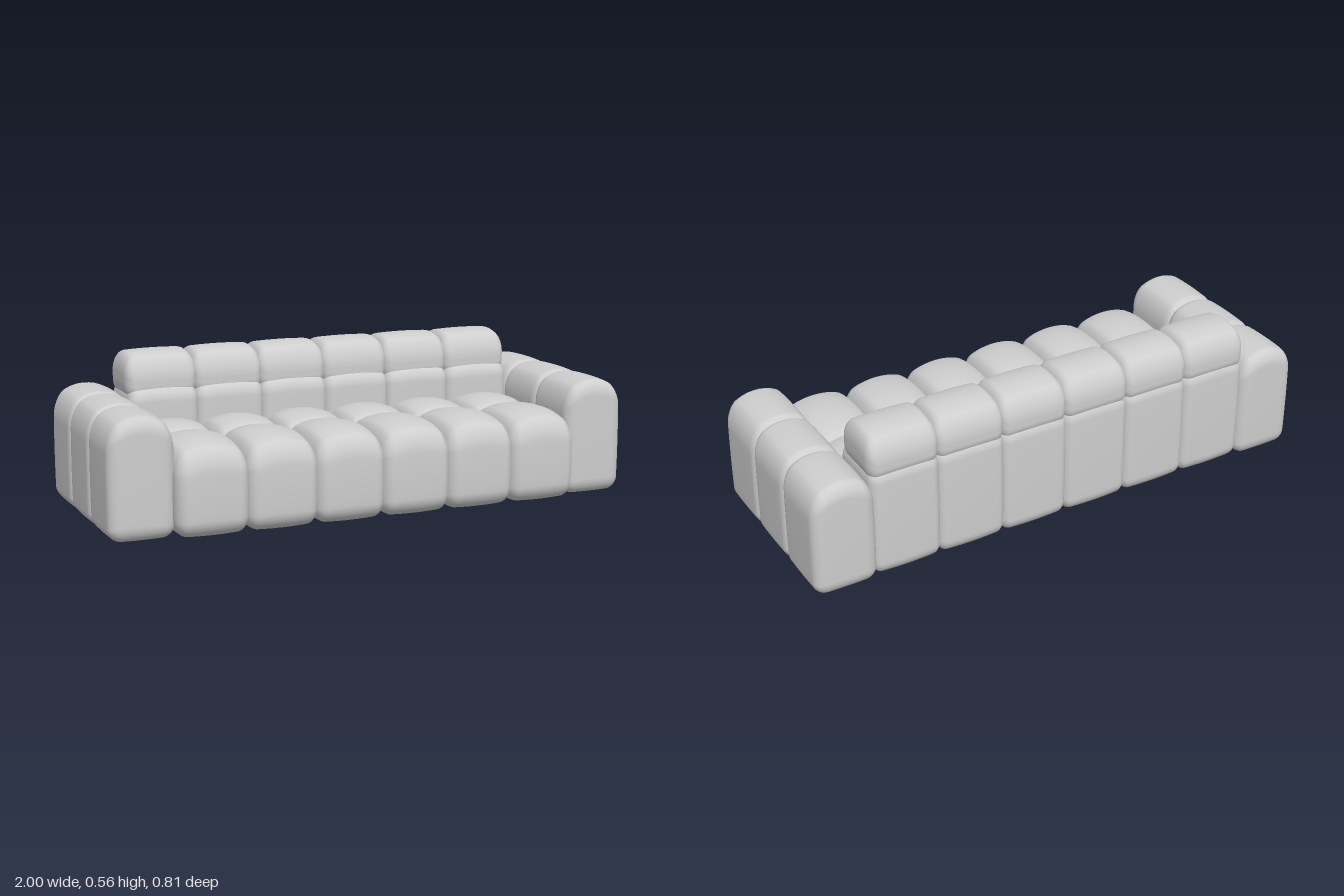
import * as THREE from 'three';
import { mergeVertices } from 'three/addons/utils/BufferGeometryUtils.js';

const SEGMENTS = 16;

// Soft block: elliptical corner radii r = [x, y, z], faces bulging by a fraction,
// top falling by dropX and dropZ towards its edges.
function cushionGeometry([w, h, d], r, dropX, dropZ, bulge) {
  const box = new THREE.BoxGeometry(2, 2, 2, SEGMENTS, SEGMENTS, SEGMENTS);
  box.deleteAttribute('uv');
  box.deleteAttribute('normal');
  const geo = mergeVertices(box);
  const pos = geo.attributes.position;
  const half = [w / 2, h / 2, d / 2];
  const arc = (t) => 1 - Math.sqrt(Math.max(0, 1 - t * t));
  for (let i = 0; i < pos.count; i++) {
    const u = [pos.getX(i), pos.getY(i), pos.getZ(i)];
    // inner half of each face is flat, the outer half wraps round the corner
    const corner = u.map((v) => Math.sign(v) * Math.tan(Math.max(0, Math.abs(v) - 0.5) * Math.PI / 2));
    const len = Math.hypot(...corner);
    const n = u.map((v, k) =>
      (Math.max(-1, Math.min(1, v * 2)) * (half[k] - r[k]) + r[k] * corner[k] / len) / half[k]);
    const sum = n[0] ** 2 + n[1] ** 2 + n[2] ** 2;
    const p = n.map((v, k) => v * half[k] * (1 - bulge * (sum - v * v) / 2));
    const drop = dropX * arc(Math.min(1, Math.abs(n[0]))) + dropZ * arc(Math.min(1, Math.abs(n[2])));
    pos.setXYZ(i, p[0], (p[1] + half[1]) * (1 - drop / h), p[2]);
  }
  geo.computeVertexNormals();
  return geo;
}

export function createModel() {
  const model = new THREE.Group();
  model.name = 'sofa';
  const fabric = new THREE.MeshStandardMaterial({ color: 0xcecece });
  fabric.name = 'light grey fabric';

  function add(name, geo, x, y, z) {
    const mesh = new THREE.Mesh(geo, fabric);
    mesh.name = name;
    mesh.position.set(x, y, z);
    model.add(mesh);
  }

  // Rows of six cushions: [name, height, back z, front z, base y, radii, dropX, dropZ, bulge]
  const rows = [
    ['frontSeat', 0.337, 0.04, 0.405, 0, [0.04, 0.07, 0.05], 0.05, 0.04, 0.06],
    ['rearSeat', 0.33, -0.18, 0.085, 0, [0.04, 0.06, 0.04], 0.05, 0.025, 0.06],
    ['back', 0.442, -0.391, -0.132, 0, [0.035, 0.05, 0.04], 0.006, 0.006, 0.04],
    ['headBolster', 0.18, -0.386, -0.155, 0.38, [0.035, 0.07, 0.045], 0.006, 0.05, 0.03],
  ];
  for (const [name, h, z0, z1, y, r, dropX, dropZ, bulge] of rows) {
    const geo = cushionGeometry([0.274, h, z1 - z0], r, dropX, dropZ, bulge);
    for (let i = 0; i < 6; i++) add(name + (i + 1), geo, (i - 2.5) * 0.2555, y, (z0 + z1) / 2);
  }

  // Arms of three upright blocks each, with round tops
  const blocks = [['Front', 0.082, 0.355], ['Middle', -0.162, 0.112], ['Back', -0.402, -0.132]];
  for (const [name, z0, z1] of blocks) {
    const geo = cushionGeometry([0.242, 0.436, z1 - z0], [0.045, 0.055, 0.04], 0.08, 0.004, 0.03);
    for (const side of [-1, 1]) {
      add((side > 0 ? 'left' : 'right') + 'Arm' + name, geo, side * 0.879, 0, (z0 + z1) / 2);
    }
  }
  return model;
}
